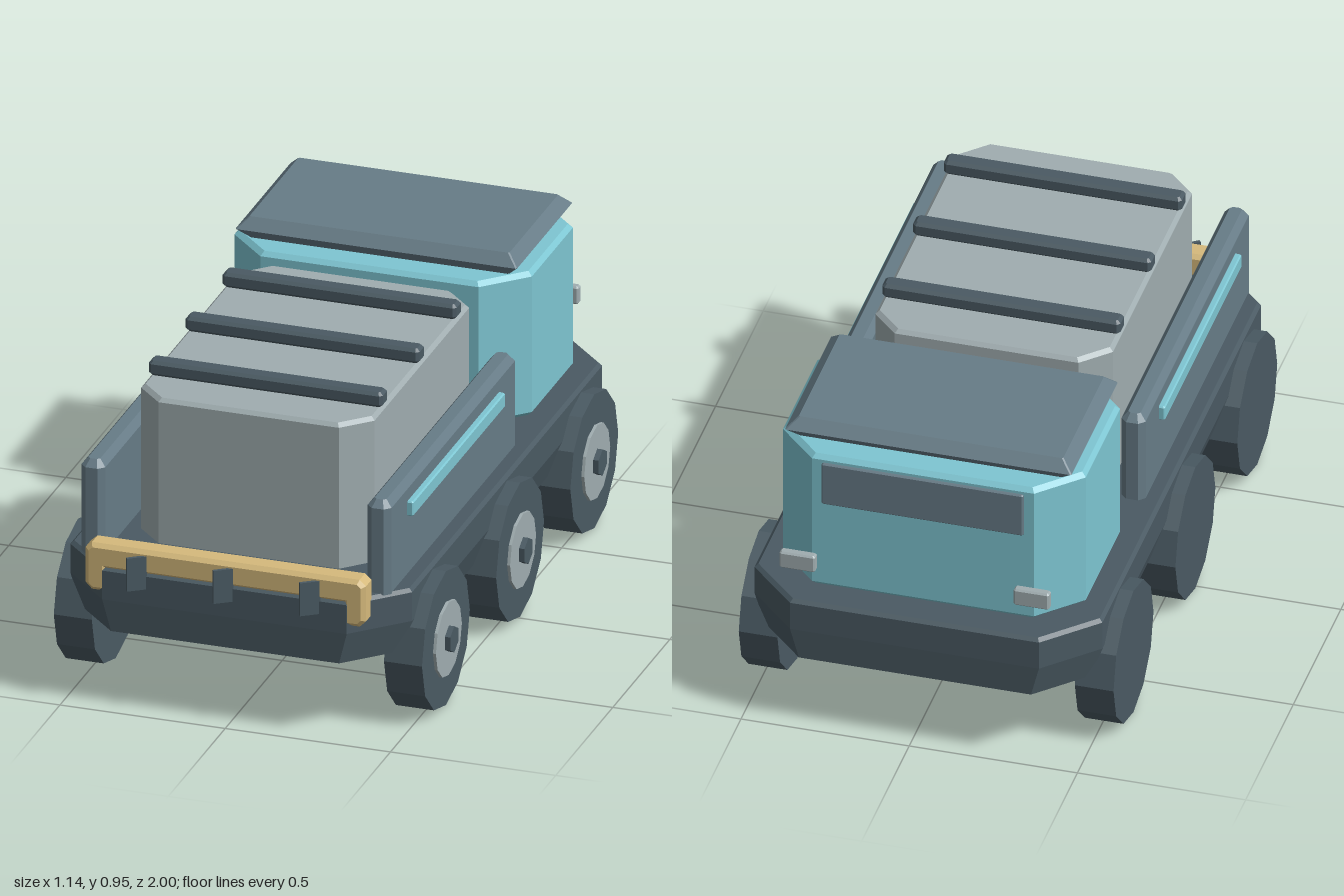
import * as THREE from 'three';

const mat = (name, color, extra = {}) => {
  const m = new THREE.MeshStandardMaterial({ color, ...extra });
  m.name = name;
  return m;
};

// Stack of eight-sided cross-sections: [y, half width, half depth, corner cut]
function loft(levels) {
  const rings = levels.map(([y, w, d, c]) => [
    [w, -d + c], [w, d - c], [w - c, d], [-w + c, d],
    [-w, d - c], [-w, -d + c], [-w + c, -d], [w - c, -d],
  ].map(([x, z]) => [x, y, z]));
  const pos = [];
  const tri = (a, b, c) => pos.push(...a, ...b, ...c);
  for (let l = 0; l < rings.length - 1; l++) {
    const lo = rings[l], hi = rings[l + 1];
    for (let i = 0; i < 8; i++) {
      const j = (i + 1) % 8;
      tri(lo[i], hi[i], lo[j]);
      tri(lo[j], hi[i], hi[j]);
    }
  }
  const bottom = rings[0], top = rings[rings.length - 1];
  for (let i = 1; i < 7; i++) {
    tri(bottom[0], bottom[i], bottom[i + 1]);
    tri(top[0], top[i + 1], top[i]);
  }
  const g = new THREE.BufferGeometry();
  g.setAttribute('position', new THREE.Float32BufferAttribute(pos, 3));
  g.computeVertexNormals();
  return g;
}

// Box with all edges cut by e, centred on its origin
function cutBox(w, h, d, e) {
  const x = w / 2, y = h / 2, z = d / 2;
  return loft([
    [-y, x - e, z - e, e * 0.5], [-y + e, x, z, e],
    [y - e, x, z, e], [y, x - e, z - e, e * 0.5],
  ]);
}

export function createModel() {
  const dark = mat('dark slate', 0x4a5a63, { flatShading: true });
  const slate = mat('mid slate', 0x677c87, { flatShading: true });
  const teal = mat('turquoise', 0x7ec6d2, { flatShading: true });
  const grey = mat('light grey', 0xa0adb0, { flatShading: true });
  const gold = mat('gold', 0xd6ba7c, { flatShading: true });

  const model = new THREE.Group();
  model.name = 'sixWheelTruck';
  const body = new THREE.Group();
  body.name = 'body';
  body.position.x = -0.0135;
  model.add(body);

  const add = (name, geo, material, x, y, z, parent = body) => {
    const m = new THREE.Mesh(geo, material);
    m.name = name;
    m.position.set(x, y, z);
    parent.add(m);
    return m;
  };

  // Chassis: tapered lower flanks, cut corners
  add('chassis', loft([
    [0.237, 0.485, 0.975, 0.14], [0.335, 0.517, 0.98, 0.147],
    [0.425, 0.517, 0.98, 0.147], [0.435, 0.507, 0.97, 0.143],
  ]), dark, 0, 0, -0.0125);

  // Cab, roof and window
  add('cab', loft([
    [0.435, 0.435, 0.285, 0.115], [0.45, 0.45, 0.3, 0.12],
    [0.875, 0.45, 0.3, 0.12], [0.888, 0.437, 0.287, 0.115],
  ]), teal, 0, 0, -0.603);
  add('roof', loft([
    [0.886, 0.39, 0.212, 0.004], [0.922, 0.426, 0.245, 0.004],
    [0.955, 0.393, 0.215, 0.004],
  ]), slate, 0, 0, -0.605);
  add('cabWindow', cutBox(0.6, 0.14, 0.02, 0.004), slate, 0, 0.797, -0.902);

  // Cargo box with three straps
  add('cargoBox', loft([
    [0.43, 0.353, 0.495, 0.08], [0.877, 0.353, 0.495, 0.08],
    [0.888, 0.342, 0.484, 0.076],
  ]), grey, 0, 0, 0.26);
  for (const z of [0.586, 0.263, -0.061]) {
    add('cargoStrap', cutBox(0.708, 0.046, 0.055, 0.009), dark, 0, 0.911, z);
  }

  for (const s of [-1, 1]) {
    // Side walls, stripes and lamps
    add('sideWall', loft([
      [0.43, 0.036, 0.559, 0.018], [0.7, 0.036, 0.559, 0.018],
      [0.722, 0.018, 0.54, 0.008],
    ]), slate, s * 0.433, 0, 0.321);
    add('sideStripe', cutBox(0.03, 0.046, 0.808, 0.004), teal, s * 0.472, 0.639, 0.32);
    add('lamp', cutBox(0.106, 0.055, 0.028, 0.005), grey, s * 0.348, 0.572, -0.984);

    // Wheels, with the hub on the +x face of each
    [0.64, -0.01, -0.66].forEach((z) => {
      const wheel = new THREE.Group();
      wheel.name = 'wheel';
      wheel.position.set(s * 0.4995, 0.21, z);
      body.add(wheel);
      const disc = (name, r, from, to, sides, material) => {
        const g = new THREE.CylinderGeometry(r, r, to - from, sides);
        g.rotateZ(-Math.PI / 2);
        if (sides === 6) g.rotateX(Math.PI / 2);
        add(name, g, material, (from + to) / 2, 0, 0, wheel);
      };
      disc('tyre', 0.21, -0.0575, 0.0575, 12, dark);
      disc('rim', 0.114, 0.05, 0.0665, 12, grey);
      disc('hub', 0.041, 0.05, 0.083, 6, dark);
    });
  }

  // Bumper: bar with a short leg at each end
  const outline = new THREE.Shape();
  const e = 0.012;
  [[-0.4, 0.37], [-0.37, 0.37], [-0.37, 0.44], [0.37, 0.44], [0.37, 0.37], [0.4, 0.37],
    [0.412, 0.382], [0.412, 0.482], [0.4, 0.493], [-0.4, 0.493], [-0.412, 0.482], [-0.412, 0.382],
  ].forEach(([x, y], i) => (i ? outline.lineTo(x, y) : outline.moveTo(x, y)));
  outline.closePath();
  add('bumper', new THREE.ExtrudeGeometry(outline, {
    depth: 0.072 - 2 * e, bevelEnabled: true, bevelSize: e, bevelThickness: e, bevelSegments: 1,
  }), gold, 0, 0, 0.895 + e);

  // Angled bumper fins
  for (const x of [-0.262, 0, 0.262]) {
    const fin = add('bumperFin', new THREE.BoxGeometry(0.06, 0.103, 0.01), dark, x, 0.437, 0.979);
    fin.rotation.y = 0.62;
  }

  return model;
}
